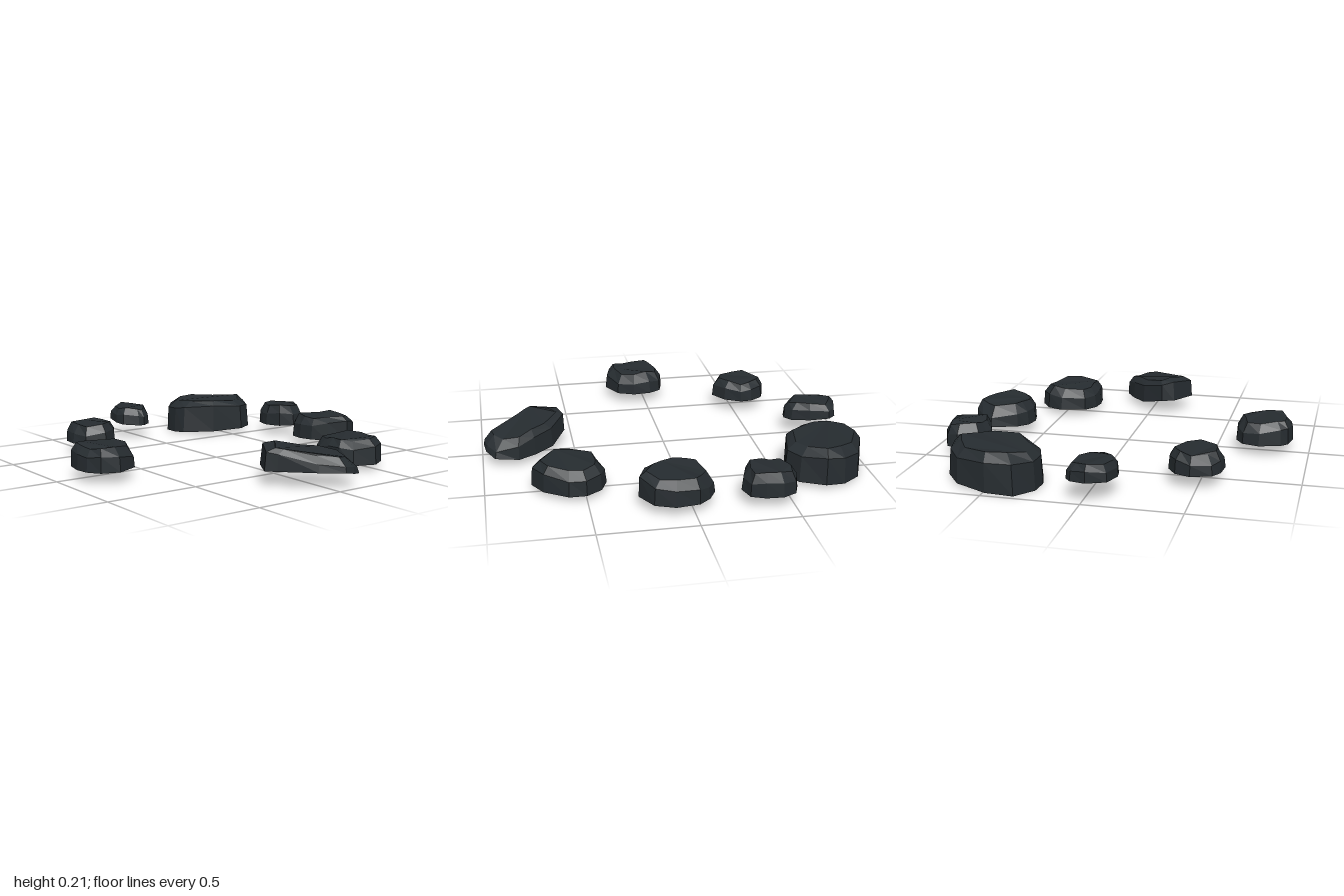
import * as THREE from 'three';

const material = new THREE.MeshStandardMaterial({
  color: 0x262c30, flatShading: true, side: THREE.DoubleSide,
});

// Hollow faceted stone, open underneath. Outline points are [x, z] with an optional rim height.
// rim, shoulder and crown are [height, slope in x, slope in z] about the stone's middle.
function stone(name, outline, rim, shoulder, crown, apex, seed) {
  const n = outline.length;
  const cx = outline.reduce((s, p) => s + p[0], 0) / n;
  const cz = outline.reduce((s, p) => s + p[1], 0) / n;
  const level = ([h, sx, sz], x, z) => h + sx * (x - cx) + sz * (z - cz);
  const ring = (plane, scale, wobble, rough) => outline.map(([x, z, y], i) => {
    const k = scale + wobble * Math.sin(i * 2.3 + seed);
    const px = cx + (x - cx) * k, pz = cz + (z - cz) * k;
    const h = plane === rim && y !== undefined ? y : level(plane, px, pz);
    return [px, h + rough * Math.sin(i * 1.9 + seed * 2), pz];
  });
  const rings = [
    ring(rim, 1, 0, 0),
    ring(shoulder, 0.965, 0.015, 0.008),
    ring(crown, 0.76, 0.06, 0.007),
  ];
  const index = [];
  for (let r = 0; r < 2; r++) {
    for (let i = 0; i < n; i++) {
      const a = r * n + i, b = r * n + (i + 1) % n;
      index.push(a, a + n, b + n, a, b + n, b);
    }
  }
  // Top facets radiate from one crown corner
  for (let i = 1; i < n - 1; i++) {
    index.push(2 * n + apex, 2 * n + (apex + i + 1) % n, 2 * n + (apex + i) % n);
  }
  const indexed = new THREE.BufferGeometry();
  indexed.setAttribute('position', new THREE.Float32BufferAttribute(rings.flat(2), 3));
  indexed.setIndex(index);
  const geometry = indexed.toNonIndexed();
  geometry.computeVertexNormals();
  const mesh = new THREE.Mesh(geometry, material);
  mesh.name = name;
  return mesh;
}

export function createModel() {
  const group = new THREE.Group();
  group.name = 'stoneRing';

  group.add(
    // Left side
    stone('leftStone',
      [[0.63, -0.07], [0.77, -0.12], [0.84, -0.08], [0.89, -0.02], [0.905, 0.1], [0.865, 0.2],
        [0.755, 0.26], [0.64, 0.22], [0.585, 0.14], [0.565, 0.06], [0.58, -0.02]],
      [0.06, 0, 0], [0.138, 0, 0.12], [0.183, 0, 0.03], 8, 1),
    stone('frontLeftStone',
      [[0.37, 0.42], [0.51, 0.385], [0.6, 0.42], [0.655, 0.5], [0.655, 0.59], [0.575, 0.71],
        [0.48, 0.765], [0.36, 0.72], [0.32, 0.65], [0.31, 0.57], [0.32, 0.49]],
      [0.035, 0, 0], [0.118, 0, 0.05], [0.16, 0, 0.02], 8, 2),
    // Tilted long stone at the front
    stone('frontStone',
      [[-0.235, 0.71, 0.085], [-0.15, 0.57, 0.085], [-0.08, 0.545, 0.085], [0.05, 0.62, 0.05],
        [0.135, 0.72, 0.045], [0.19, 0.81, 0.045], [0.19, 0.935, 0.06], [0.115, 0.98, 0.075],
        [0.05, 0.99, 0.088], [-0.055, 0.91, 0.088], [-0.19, 0.755, 0.085]],
      [0.07, 0, 0], [0.145, -0.13, -0.13], [0.178, -0.1, -0.1], 0, 3),
    // Right side
    stone('rightStone',
      [[-0.855, -0.085], [-0.74, -0.12], [-0.65, -0.095], [-0.61, -0.03], [-0.6, 0.07],
        [-0.64, 0.165], [-0.76, 0.225], [-0.855, 0.195], [-0.9, 0.13], [-0.91, 0.05], [-0.89, -0.05]],
      [0.063, 0, 0], [0.135, -0.06, 0], [0.18, 0, 0], 6, 4),
    stone('backRightStone',
      [[-0.575, -0.665], [-0.47, -0.7], [-0.39, -0.67], [-0.345, -0.6], [-0.34, -0.535],
        [-0.39, -0.445], [-0.48, -0.39], [-0.585, -0.435], [-0.62, -0.515], [-0.61, -0.61]],
      [0.075, 0, 0], [0.135, 0.05, 0], [0.178, 0, 0], 1, 5),
    // Back
    stone('backStone',
      [[-0.12, -0.95], [-0.025, -1], [0.055, -0.98], [0.085, -0.94], [0.07, -0.83],
        [0.025, -0.735], [-0.025, -0.705], [-0.06, -0.71], [-0.135, -0.77], [-0.145, -0.835]],
      [0.1, 0, -0.08], [0.152, 0, -0.06], [0.188, 0, -0.03], 8, 6),
    stone('largeBackStone',
      [[0.26, -0.875], [0.34, -0.975], [0.485, -0.975], [0.655, -0.905], [0.735, -0.805],
        [0.745, -0.705], [0.685, -0.58], [0.59, -0.53], [0.41, -0.58], [0.27, -0.71], [0.25, -0.78]],
      [0.018, 0.04, 0.03], [0.165, 0, 0.04], [0.203, 0.02, 0], 0, 2.5),
    stone('backLeftStone',
      [[0.7, -0.48], [0.805, -0.53], [0.87, -0.505], [0.905, -0.435], [0.9, -0.345],
        [0.87, -0.275], [0.785, -0.25], [0.7, -0.285], [0.665, -0.37], [0.675, -0.42]],
      [0.067, 0, 0], [0.138, 0, 0], [0.187, 0, 0], 3, 3.5),
  );
  return group;
}
